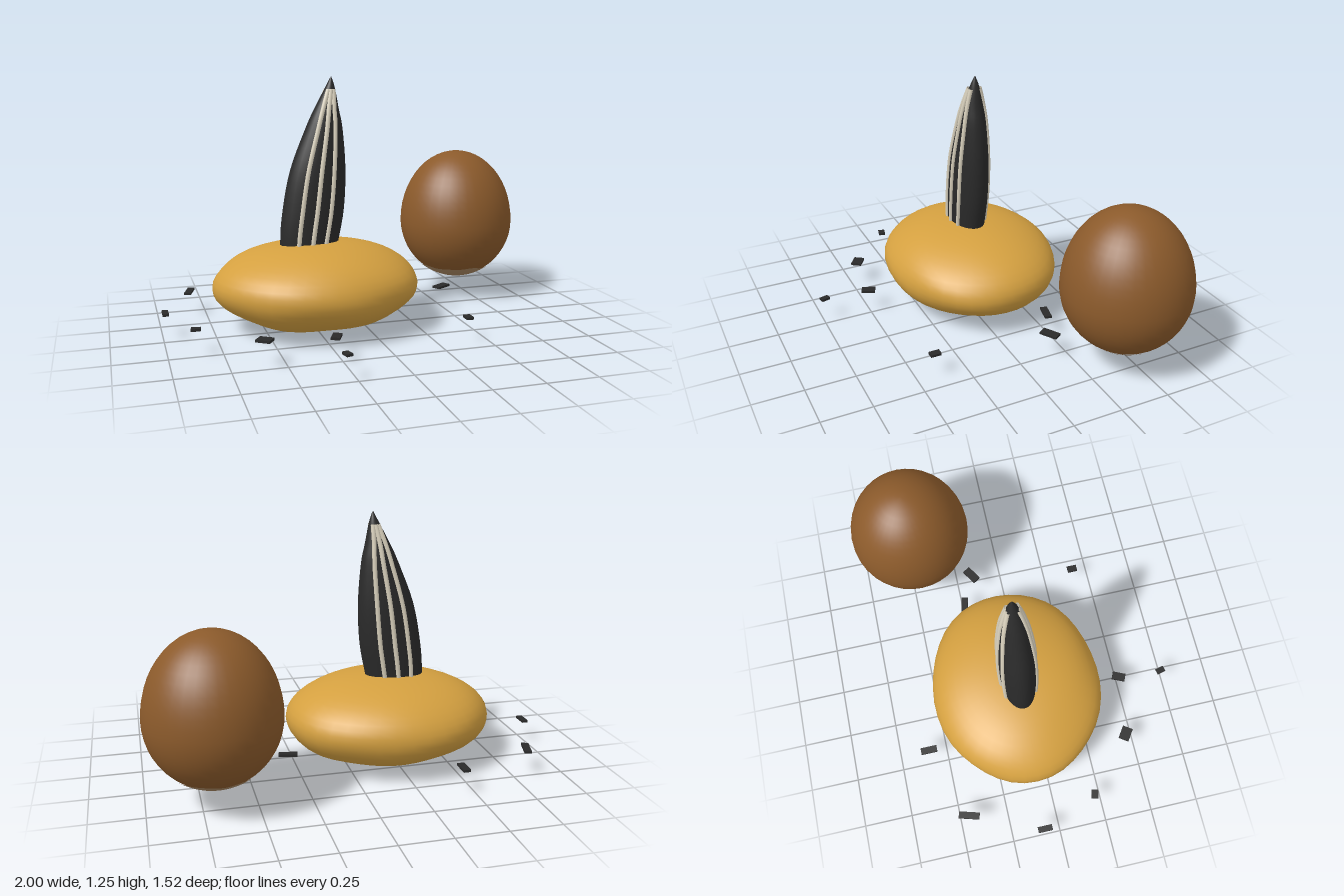
import * as THREE from 'three';
import { mergeVertices } from 'three/addons/utils/BufferGeometryUtils.js';

const colour = (name, hex, side = THREE.FrontSide) => {
  const m = new THREE.MeshStandardMaterial({ color: hex, side });
  m.name = name;
  return m;
};

// Moves every vertex by a rule, then welds the seam for smooth normals.
function shaped(geometry, rule) {
  geometry.deleteAttribute('uv');
  geometry.deleteAttribute('normal');
  const pos = geometry.attributes.position;
  const v = new THREE.Vector3();
  for (let i = 0; i < pos.count; i++) {
    rule(v.fromBufferAttribute(pos, i));
    pos.setXYZ(i, v.x, v.y, v.z);
  }
  const welded = mergeVertices(geometry, 1e-4);
  welded.computeVertexNormals();
  return welded;
}

export function createModel() {
  const root = new THREE.Group();
  root.name = 'seedAndNut';
  const gold = colour('goldenKernel', 0xd4a040);
  const brown = colour('nutBrown', 0x8b5a2b);
  const tan = colour('nutBaseTan', 0xa5845f);
  const black = colour('huskBlack', 0x2a2a2a);
  const cream = colour('stripeCream', 0xd8d0bc, THREE.DoubleSide);

  const add = (parent, name, geometry, material) => {
    const mesh = new THREE.Mesh(geometry, material);
    mesh.name = name;
    parent.add(mesh);
    return mesh;
  };

  // Flattened, slightly lumpy kernel
  const kernel = shaped(new THREE.SphereGeometry(1, 40, 24), (v) => {
    const lump = 1 + 0.012 * Math.sin(5 * v.x + 2 * v.y) * Math.cos(4 * v.z - 3 * v.y);
    const ripple = v.y < 0 ? 1 + 0.02 * v.y * Math.sin(7 * v.x + 3 * v.z) : 1;
    v.multiplyScalar(lump * ripple);
    v.set(v.x * 0.52, v.y * 0.22, v.z * 0.445);
  });
  add(root, 'kernel', kernel, gold).position.set(-0.23, 0.224, -0.065);

  // Leaning striped seed: the spine and the half widths share one parameter
  const seed = new THREE.Group();
  seed.name = 'stripedSeed';
  seed.position.z = -0.063;
  root.add(seed);
  const sections = [ // centre x, y, half width x, half width z
    [-0.285, 0.2, 0.12, 0.07], [-0.268, 0.43, 0.148, 0.085],
    [-0.245, 0.6, 0.156, 0.091], [-0.22, 0.8, 0.14, 0.087],
    [-0.188, 1.0, 0.094, 0.067], [-0.174, 1.1, 0.061, 0.05],
    [-0.156, 1.2, 0.025, 0.024], [-0.15, 1.255, 0.002, 0.002],
  ];
  const spine = new THREE.CatmullRomCurve3(
    sections.map(([x, y]) => new THREE.Vector3(x, y, 0)), false, 'catmullrom');
  const widths = new THREE.CatmullRomCurve3(
    sections.map(([, , a, b]) => new THREE.Vector3(a, b, 0)), false, 'catmullrom');
  const onSeed = (t, a, b) => {
    const c = spine.getPoint(t);
    const w = widths.getPoint(t);
    return new THREE.Vector3(c.x + a * w.x, c.y, b * w.y);
  };
  const husk = shaped(new THREE.CylinderGeometry(1, 1, 1, 28, 28), (v) => {
    v.copy(onSeed(THREE.MathUtils.clamp(v.y + 0.5, 0, 1), v.x, v.z));
  });
  add(seed, 'husk', husk, black);

  // Three raised stripes on each broad face
  for (const face of [1, -1]) {
    for (const across of [-0.46, 0, 0.46]) {
      const path = [];
      for (let i = 0; i <= 12; i++) {
        path.push(onSeed((i / 12) * 0.845, across, face * Math.sqrt(1 - across * across)));
      }
      const tube = new THREE.TubeGeometry(new THREE.CatmullRomCurve3(path), 28, 0.0115, 8);
      add(seed, 'stripe', tube, cream);
    }
  }

  // Egg-shaped nut with a pale base
  const nut = new THREE.Group();
  nut.name = 'nut';
  nut.position.set(0.685, 0.43, -0.45);
  root.add(nut);
  const eggRule = (grow) => (v) => {
    v.set(v.x * 0.314 * grow, v.y * (v.y > 0 ? 0.395 : 0.322) * grow, v.z * 0.314 * grow);
  };
  add(nut, 'nutShell', shaped(new THREE.SphereGeometry(1, 36, 26), eggRule(1)), brown);

  const capAngle = 0.69;
  const cap = shaped(
    new THREE.SphereGeometry(1, 48, 8, 0, Math.PI * 2, Math.PI - capAngle, capAngle), (v) => {
      const around = Math.atan2(v.z, v.x);
      const fromBase = Math.acos(THREE.MathUtils.clamp(-v.y, -1, 1))
        * (1 + 0.03 * Math.sin(5 * around) + 0.02 * Math.sin(9 * around + 1));
      const r = Math.sin(fromBase);
      v.set(r * Math.cos(around), -Math.cos(fromBase), r * Math.sin(around));
      eggRule(1.01)(v);
    });
  add(nut, 'nutBase', cap, tan);

  // Small star-shaped scar under the nut
  const star = new THREE.Shape();
  for (let i = 0; i < 10; i++) {
    const r = i % 2 ? 0.012 : 0.042;
    const a = (i * Math.PI) / 5;
    star[i ? 'lineTo' : 'moveTo'](r * Math.cos(a), r * Math.sin(a));
  }
  const scar = add(nut, 'baseScar', new THREE.ShapeGeometry(star), brown);
  scar.rotation.x = Math.PI / 2;
  scar.position.y = -0.327;

  // Scattered husk chips: x, z, width, depth, turn
  const chips = [
    [-0.45, -0.59, 0.035, 0.085, 0], [-0.833, -0.45, 0.035, 0.108, -0.28],
    [-0.985, -0.08, 0.03, 0.075, 0], [-0.87, 0.214, 0.045, 0.035, -0.2],
    [-0.595, 0.455, 0.07, 0.055, -0.6], [-0.28, 0.5, 0.042, 0.07, -0.42],
    [-0.295, 0.733, 0.03, 0.045, 0.25], [0.4, 0.405, 0.035, 0.053, 0],
    [0.315, -0.24, 0.09, 0.035, -0.22], [0.488, -0.165, 0.09, 0.045, 0.55],
  ];
  for (const [x, z, w, d, turn] of chips) {
    const chip = add(root, 'huskChip', new THREE.BoxGeometry(w, 0.012, d), black);
    chip.position.set(x, 0.122, z);
    chip.rotation.y = turn;
  }
  return root;
}
